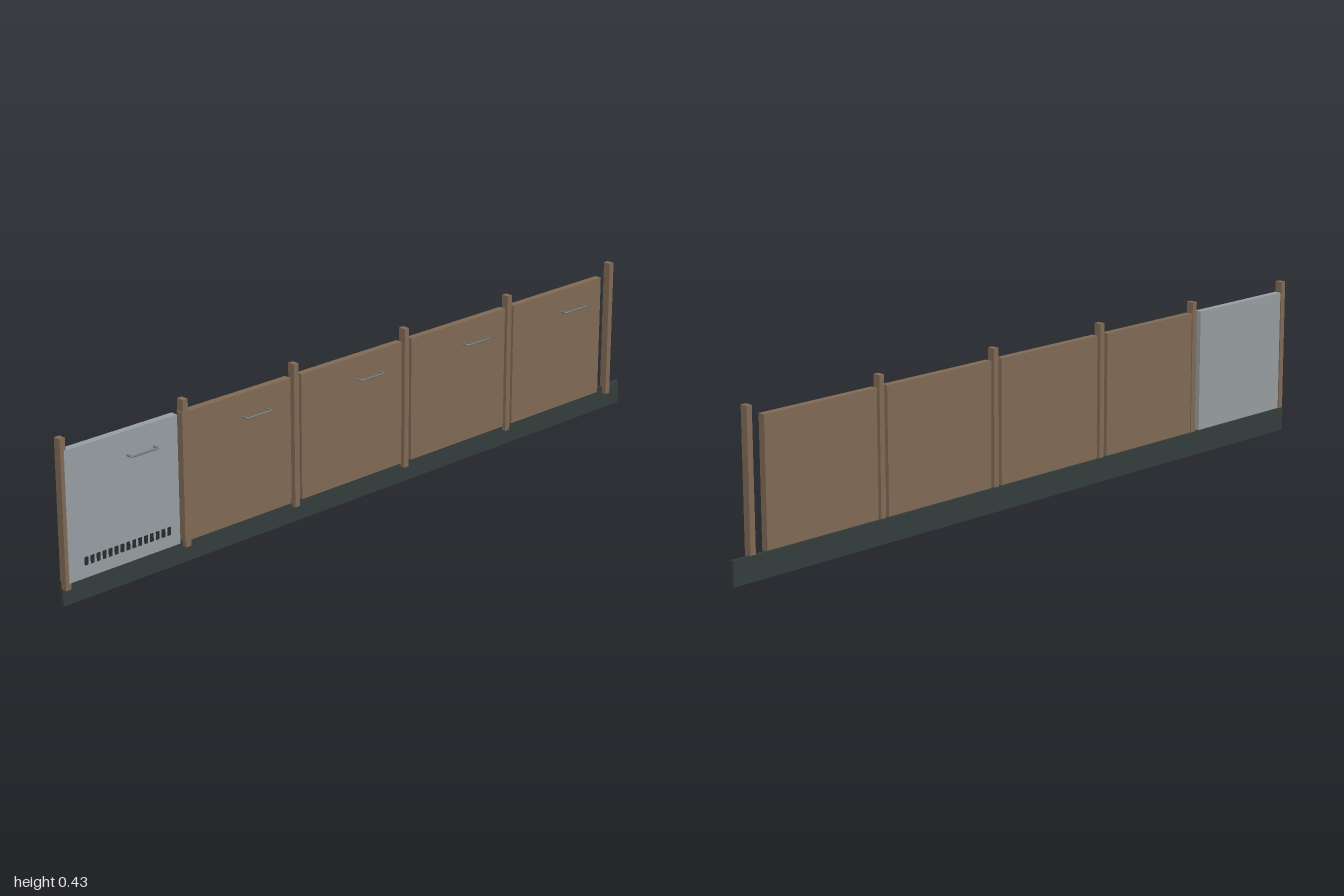
import * as THREE from 'three';

const mat = (name, color) => {
  const m = new THREE.MeshStandardMaterial({ color });
  m.name = name;
  return m;
};

export function createModel() {
  const root = new THREE.Group();
  root.name = 'cabinetFronts';
  const wood = mat('wood', 0x806a54);
  const grey = mat('greyPanel', 0x979ea1);
  const dark = mat('darkPlinth', 0x343d3d);
  const metal = mat('handleMetal', 0x6f787a);
  const black = mat('ventBlack', 0x252b2b);

  // Box given by its limits on each axis
  const box = (name, m, x0, x1, y0, y1, z0, z1) => {
    const mesh = new THREE.Mesh(new THREE.BoxGeometry(x1 - x0, y1 - y0, z1 - z0), m);
    mesh.position.set((x0 + x1) / 2, (y0 + y1) / 2, (z0 + z1) / 2);
    mesh.name = name;
    root.add(mesh);
  };

  // Plinth along the whole run
  box('plinth', dark, -0.023, -0.013, 0, 0.066, -1, 1);

  // Upright posts between the doors
  for (const z of [0.992, 0.618, 0.254, -0.136, -0.525, -0.939])
    box('post', wood, -0.0215, 0, 0.045, 0.433, z - 0.008, z + 0.008);

  // Doors: the first is the grey appliance front
  box('applianceDoor', grey, -0.0185, 0.0015, 0.062, 0.402, 0.646, 0.99);
  for (const z of [0.453, 0.062, -0.328, -0.716])
    box('door', wood, -0.0185, 0.0015, 0.062, 0.402, z - 0.177, z + 0.177);

  // Bent bar handles
  const bend = new THREE.CurvePath();
  const pts = [[0, 0.041], [0.0165, 0.041], [0.019, 0.038], [0.019, -0.038], [0.0165, -0.041], [0, -0.041]]
    .map(([x, z]) => new THREE.Vector3(x, 0, z));
  for (let i = 1; i < pts.length; i++) bend.add(new THREE.LineCurve3(pts[i - 1], pts[i]));
  const handleGeo = new THREE.TubeGeometry(bend, 60, 0.0027, 8);
  for (const z of [0.762, 0.395, 0.004, -0.387, -0.773]) {
    const handle = new THREE.Mesh(handleGeo, metal);
    handle.position.set(0, 0.34, z);
    handle.name = 'handle';
    root.add(handle);
  }

  // Row of vent slots on the appliance door
  for (let i = 0; i < 15; i++) {
    const z = 0.94 - i * 0.0183;
    box('ventSlot', black, 0.0045, 0.0065, 0.097, 0.118, z - 0.005, z + 0.005);
  }
  return root;
}
